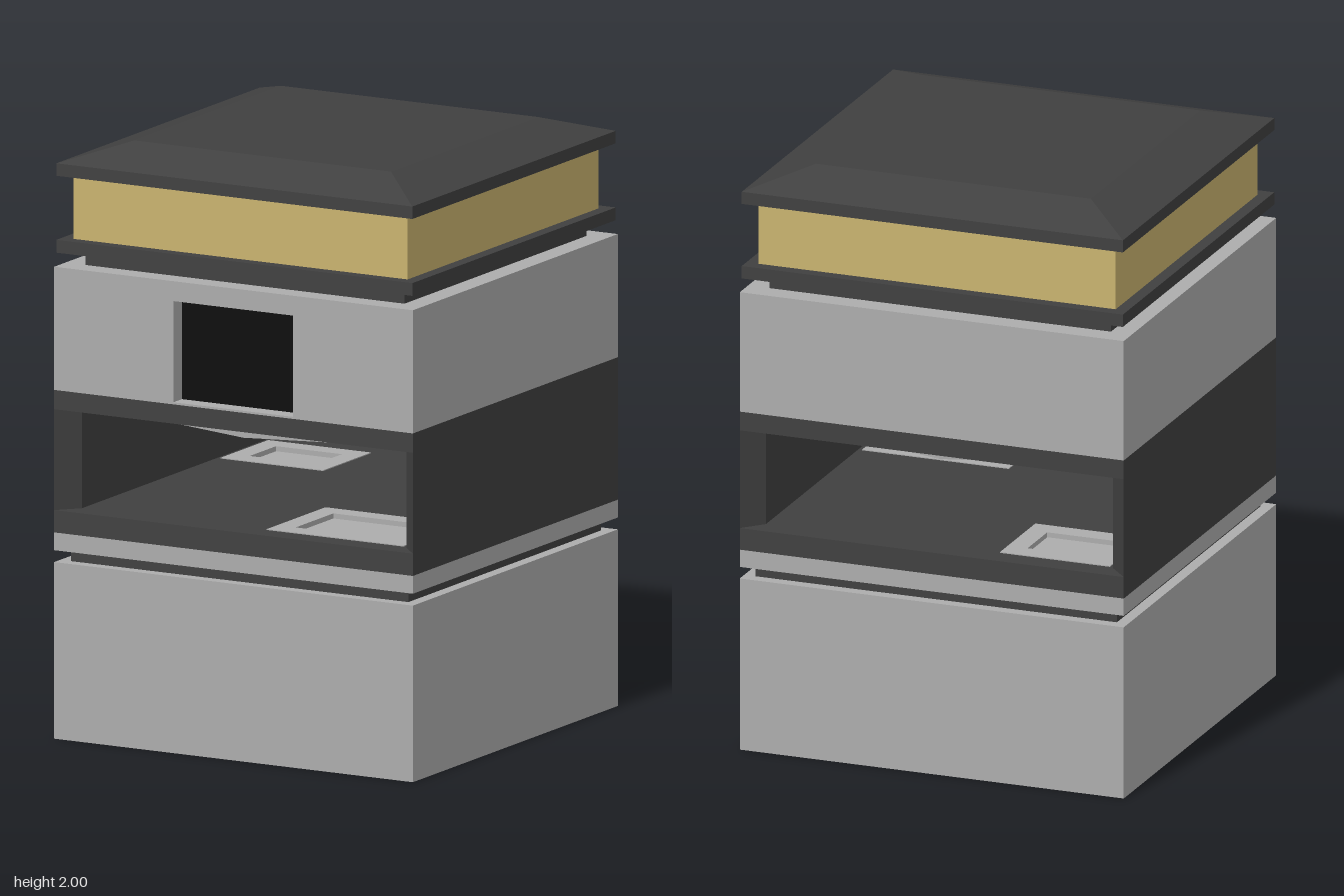
import * as THREE from 'three';

const paint = (name, color) => {
  const m = new THREE.MeshStandardMaterial({ color });
  m.name = name;
  return m;
};

export function createModel() {
  const grey = paint('stone grey', 0xacacac);
  const dark = paint('charcoal', 0x404040);
  const gold = paint('warm gold', 0xc9b36f);
  const black = paint('black', 0x0a0a0a);
  const model = new THREE.Group();
  model.name = 'kitchenTower';

  const add = (name, geometry, material) => {
    const mesh = new THREE.Mesh(geometry, material);
    mesh.name = name;
    model.add(mesh);
    return mesh;
  };
  // Box given by its limits on each axis
  const box = (name, material, x0, x1, y0, y1, z0, z1) => {
    const mesh = add(name, new THREE.BoxGeometry(x1 - x0, y1 - y0, z1 - z0), material);
    mesh.position.set((x0 + x1) / 2, (y0 + y1) / 2, (z0 + z1) / 2);
    return mesh;
  };
  // Centred square slab
  const slab = (name, material, half, y0, y1) =>
    box(name, material, -half, half, y0, y1, -half, half);
  const rect = (x0, x1, y0, y1) => [[x0, y0], [x1, y0], [x1, y1], [x0, y1]]
    .map(([x, y]) => new THREE.Vector2(x, y));
  const polygon = (r, n) => Array.from({ length: n }, (_, i) =>
    new THREE.Vector2(r * Math.cos(2 * Math.PI * i / n), r * Math.sin(2 * Math.PI * i / n)));
  const extrude = (outline, holes, depth) => {
    const shape = new THREE.Shape(outline);
    holes.forEach((h) => shape.holes.push(new THREE.Path(h)));
    return new THREE.ExtrudeGeometry(shape, { depth, bevelEnabled: false });
  };
  // Plan outline (x, -z) raised from y0 to y1
  const raise = (outline, holes, y0, y1) =>
    extrude(outline, holes, y1 - y0).rotateX(-Math.PI / 2).translate(0, y0, 0);

  // Base cabinet, shadow gap and worktop edge
  slab('baseCabinet', grey, 0.68, 0, 0.595);
  slab('baseShadowGap', dark, 0.64, 0.595, 0.635);
  slab('worktopSlab', grey, 0.68, 0.635, 0.695);

  // Counter with two inset basins: x0, x1, z0, z1
  const basins = [[0.08, 0.6, 0.21, 0.6], [-0.6, -0.21, -0.6, -0.285]];
  slab('counterBottom', dark, 0.68, 0.695, 0.75);
  const cutouts = basins.map(([x0, x1, z0, z1]) => rect(x0, x1, -z1, -z0));
  add('counterTop', raise(rect(-0.68, 0.68, -0.68, 0.68), cutouts, 0.75, 0.77), dark);
  basins.forEach(([x0, x1, z0, z1], i) => {
    const inset = 0.07;
    const hole = rect(x0 + inset, x1 - inset, -z1 + inset, -z0 - inset);
    add('basinRim', raise(cutouts[i], [hole], 0.75, 0.773), grey);
    box('basinFloor', grey, x0 + inset, x1 - inset, 0.748, 0.756, z0 + inset, z1 - inset);
  });

  // Side walls with chamfered inner ends
  const wall = [[0.68, -0.68], [0.68, 0.68], [0.615, 0.61], [0.615, -0.61]]
    .map(([x, y]) => new THREE.Vector2(x, y));
  for (const turn of [0, Math.PI]) {
    add('sideWall', raise(wall, [], 0.77, 1.11), dark).rotation.y = turn;
  }

  // Ceiling of the niche with a twelve-sided hood ring
  slab('nicheCeiling', dark, 0.68, 1.11, 1.175);
  add('hoodRing', raise(polygon(0.615, 12), [polygon(0.42, 12)], 1.075, 1.11), grey);
  add('hoodPanel', raise(polygon(0.42, 12), [], 1.083, 1.11), grey);

  // Upper block with a recessed front panel
  box('upperBlock', grey, -0.68, 0.68, 1.175, 1.59, -0.68, 0.62);
  const opening = rect(-0.228, 0.225, 1.182, 1.523);
  add('upperFront', extrude(rect(-0.68, 0.68, 1.175, 1.59), [opening], 0.06)
    .translate(0, 0, 0.62), grey);
  box('recessPanel', black, -0.228, 0.225, 1.182, 1.523, 0.618, 0.623);

  // Lantern band between two dark slabs
  slab('upperShadowGap', dark, 0.605, 1.59, 1.637);
  slab('lanternSill', dark, 0.675, 1.637, 1.68);
  slab('lanternBand', gold, 0.633, 1.68, 1.896);
  slab('roofEdge', dark, 0.675, 1.896, 1.938);

  // Hipped roof: a box whose top corners are drawn in
  const roof = new THREE.BoxGeometry(1.35, 0.062, 1.35).toNonIndexed();
  const p = roof.attributes.position;
  for (let i = 0; i < p.count; i++) {
    if (p.getY(i) > 0) {
      p.setX(i, Math.sign(p.getX(i)) * 0.487);
      p.setZ(i, Math.sign(p.getZ(i)) * 0.487);
    }
  }
  roof.computeVertexNormals();
  add('hippedRoof', roof, dark).position.y = 1.969;

  return model;
}
